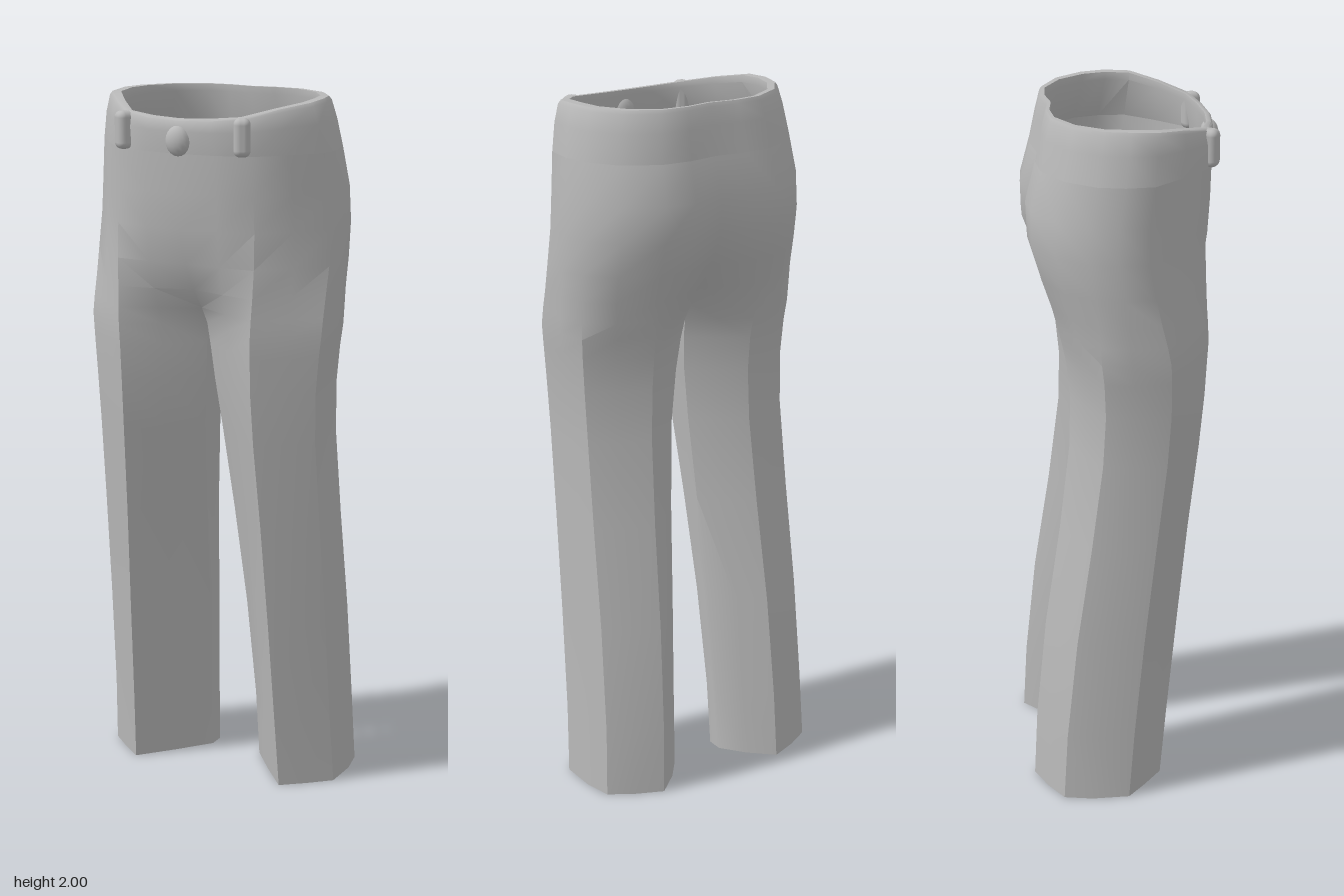
import * as THREE from 'three';
import { mergeGeometries, toCreasedNormals } from 'three/addons/utils/BufferGeometryUtils.js';
import { RoundedBoxGeometry } from 'three/addons/geometries/RoundedBoxGeometry.js';

// Half cross-sections [across, depth]: front centre -> outside -> back centre.
const LEG = [[0, -.04], [.28, .5], [.56, 1], [.8, .7], [1, .42], [1, -.16], [.94, -.6], [.7, -.82], [.42, -1], [.18, -.66], [0, -.3],
  [0, -.22], [0, -.13]]; // the last two close the inside of the leg
const HIP = [[0, 1], [.3, .96], [.58, .86], [.8, .54], [.99, .2], [1, -.12], [.95, -.42], [.78, -.75], [.5, -.97], [.25, -1], [0, -.95],
  [0, -.3], [0, .4]];

// Rows: y, inner x, outer x, front z, back z, blend from leg to hip shape, front dip
const LEG_ROWS = [
  [0, .08, .367, .095, -.275, 0],
  [.2, .075, .36, .113, -.265, 0],
  [.5, .062, .355, .143, -.235, .03],
  [.8, .045, .35, .175, -.19, .08],
  [1.05, .028, .347, .207, -.16, .14],
  [1.2, .014, .352, .223, -.157, .2],
  [1.3, .005, .36, .23, -.167, .25],
  [1.36, 0, .366, .235, -.18, .3],
];
const HIP_ROWS = [
  LEG_ROWS[LEG_ROWS.length - 1],
  [1.41, 0, .367, .238, -.193, .46],
  [1.47, 0, .368, .241, -.21, .68],
  [1.55, 0, .37, .245, -.238, .87],
  [1.65, 0, .368, .247, -.266, .97],
  [1.75, 0, .363, .25, -.267, 1],
  [1.86, 0, .35, .253, -.238, 1],
];
const BAND_ROWS = [
  [1.86, 0, .35, .253, -.238, 1],
  [1.94, 0, .336, .258, -.222, 1, .02],
  [1.99, 0, .322, .255, -.21, 1, .04],
  [2, 0, .314, .25, -.205, 1, .045],
  [2, 0, .288, .238, -.196, 1, .045],
  [1.98, 0, .284, .236, -.196, 1, .04],
  [1.86, 0, .335, .245, -.228, 1],
];

function pointOn([y, xi, xo, zf, zb, t, dip = 0], j) {
  const u = THREE.MathUtils.lerp(LEG[j][0], HIP[j][0], t);
  const v = THREE.MathUtils.lerp(LEG[j][1], HIP[j][1], t);
  return [xi + u * (xo - xi), y - dip * Math.max(0, v) ** 1.5, (zf + zb) / 2 + v * (zf - zb) / 2];
}

// Skin the rows on one side (+1 left, -1 right)
function skin(rows, closed, side) {
  const n = closed ? 13 : 11, pos = [], idx = [];
  for (const row of rows) {
    for (let j = 0; j < n; j++) {
      const [x, y, z] = pointOn(row, j);
      pos.push(x * side, y, z);
    }
  }
  for (let i = 0; i < rows.length - 1; i++) {
    for (let j = 0; j < (closed ? n : n - 1); j++) {
      const k = (j + 1) % n;
      const a = i * n + j, b = i * n + k, c = a + n, d = b + n;
      if (side > 0) idx.push(a, b, d, a, d, c);
      else idx.push(a, d, b, a, c, d);
    }
  }
  const g = new THREE.BufferGeometry();
  g.setAttribute('position', new THREE.Float32BufferAttribute(pos, 3));
  g.setIndex(idx);
  return g;
}

export function createModel() {
  const model = new THREE.Group();
  model.name = 'trousers';
  const cloth = new THREE.MeshStandardMaterial({ color: 0xb8b8b8, side: THREE.DoubleSide });
  cloth.name = 'grey cloth';

  const add = (name, geometry) => {
    const mesh = new THREE.Mesh(geometry, cloth);
    mesh.name = name;
    model.add(mesh);
    return mesh;
  };

  // Legs and seat share one smooth surface with pressed creases
  add('legsAndSeat', toCreasedNormals(mergeGeometries([
    skin(LEG_ROWS, true, 1), skin(LEG_ROWS, true, -1),
    skin(HIP_ROWS, false, 1), skin(HIP_ROWS, false, -1),
  ]), .7));

  // Waistband folds over the rim and down inside
  add('waistband', toCreasedNormals(mergeGeometries([
    skin(BAND_ROWS, false, 1), skin(BAND_ROWS, false, -1),
  ]), .8));

  // Belt loops
  for (const side of [1, -1]) {
    const loop = add(side > 0 ? 'leftBeltLoop' : 'rightBeltLoop', new RoundedBoxGeometry(.046, .105, .05, 3, .018));
    loop.position.set(.182 * side, 1.912, .226);
    loop.rotation.y = .5 * side;
  }

  // Covered front button
  const button = add('button', new THREE.SphereGeometry(1, 16, 10));
  button.scale.set(.036, .042, .026);
  button.position.set(0, 1.895, .252);
  return model;
}
